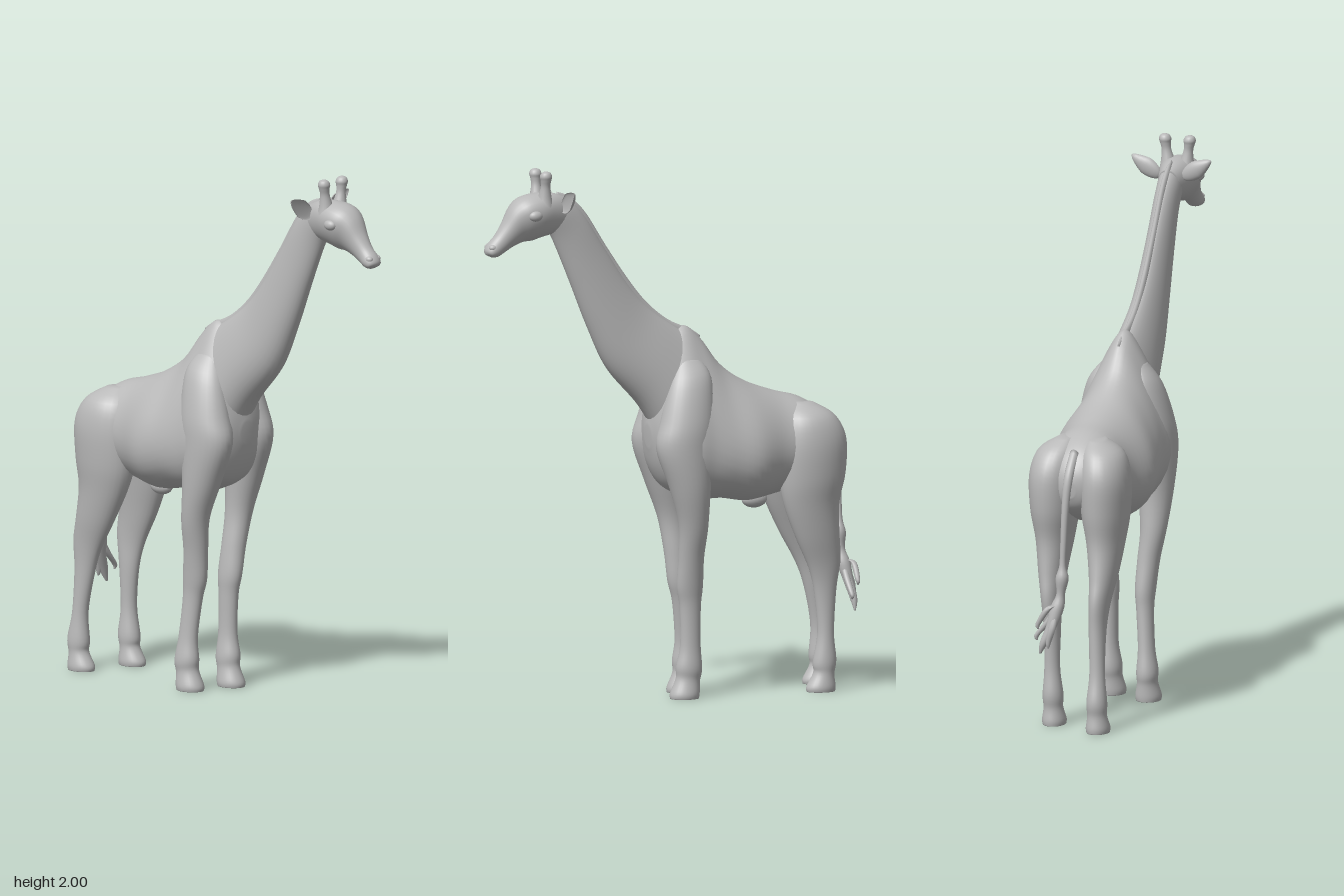
import * as THREE from 'three';

const coat = new THREE.MeshStandardMaterial({ color: 0xb9b9b9 });
coat.name = 'plain grey coat';

// Smooth interpolation between rows of numbers
const spline = (a, b, c, d, t) =>
  b + 0.5 * t * (c - a + t * (2 * a - 5 * b + 4 * c - d + t * (3 * (b - c) + d - a)));

// Skin over oval sections. Row: [x, zA, yA, zB, yB, halfWidth, taper]
// A and B are opposite points of the oval; taper narrows it towards A.
function loft(name, rows, sides = 28, steps = 5) {
  const pos = [], idx = [], rings = [];
  const last = rows.length - 1;
  for (let i = 0; i < last; i++) {
    for (let s = 0; s < steps + (i === last - 1 ? 1 : 0); s++) {
      const r = [rows[Math.max(i - 1, 0)], rows[i], rows[i + 1], rows[Math.min(i + 2, last)]];
      rings.push([0, 1, 2, 3, 4, 5, 6].map(k =>
        spline(r[0][k] || 0, r[1][k] || 0, r[2][k] || 0, r[3][k] || 0, s / steps)));
    }
  }
  for (const [x, zA, yA, zB, yB, w, t] of rings) {
    for (let j = 0; j < sides; j++) {
      const a = (j / sides) * Math.PI * 2, s = Math.sin(a);
      pos.push(x + w * Math.cos(a) * (1 - t * s),
        (yA + yB) / 2 + s * (yA - yB) / 2, (zA + zB) / 2 + s * (zA - zB) / 2);
    }
  }
  const n = rings.length;
  for (let i = 0; i < n - 1; i++) for (let j = 0; j < sides; j++) {
    const a = i * sides + j, b = i * sides + (j + 1) % sides;
    idx.push(a, b, a + sides, b, b + sides, a + sides);
  }
  // End caps
  for (const [i, flip] of [[0, false], [n - 1, true]]) {
    const [x, zA, yA, zB, yB] = rings[i], c = pos.length / 3;
    pos.push(x, (yA + yB) / 2, (zA + zB) / 2);
    for (let j = 0; j < sides; j++) {
      const a = i * sides + j, b = i * sides + (j + 1) % sides;
      if (flip) idx.push(c, a, b); else idx.push(c, b, a);
    }
  }
  // Turn the faces outwards
  const v = k => new THREE.Vector3().fromArray(pos, k * 3);
  let volume = 0;
  for (let k = 0; k < idx.length; k += 3) volume += v(idx[k]).dot(v(idx[k + 1]).cross(v(idx[k + 2])));
  if (volume < 0) idx.reverse();
  const g = new THREE.BufferGeometry();
  g.setAttribute('position', new THREE.Float32BufferAttribute(pos, 3));
  g.setIndex(idx);
  g.computeVertexNormals();
  const mesh = new THREE.Mesh(g, coat);
  mesh.name = name;
  return mesh;
}

function blob(name, x, y, z, rx, ry, rz) {
  const mesh = new THREE.Mesh(new THREE.SphereGeometry(1, 20, 14), coat);
  mesh.position.set(x, y, z);
  mesh.scale.set(rx, ry, rz);
  mesh.name = name;
  return mesh;
}

// Mirror a leg to the other side, stepping its foot outwards and back
const mirrorLeg = (rows, out, back) => rows.map(([x, zA, yA, zB, yB, w, t]) => {
  const k = Math.min(1, Math.max(0, (0.8 - (yA + yB) / 2) / 0.7));
  return [-x - out * k, zA - back * k, yA, zB - back * k, yB, w, t];
});

// Leaf-shaped ear, hollow at the front
function ear(side) {
  const g = new THREE.SphereGeometry(1, 20, 14);
  const p = g.attributes.position;
  for (let i = 0; i < p.count; i++) {
    const x = p.getX(i), z = p.getZ(i);
    const k = x > 0 ? 1 - 0.45 * x : 1;
    p.setXYZ(i, x * 0.068, p.getY(i) * 0.034 * k, (z > 0 ? -0.4 * z : z) * 0.02);
  }
  g.computeVertexNormals();
  const mesh = new THREE.Mesh(g, coat);
  mesh.position.set(side * 0.099, 1.888, 0.45);
  mesh.rotation.z = side > 0 ? 0.58 : Math.PI - 0.58;
  mesh.name = side > 0 ? 'leftEar' : 'rightEar';
  return mesh;
}

export function createModel() {
  const model = new THREE.Group();
  model.name = 'giraffe';

  // Trunk from chest to rump
  model.add(loft('body', [
    [0, 0.085, 1.02, 0.08, 0.94, 0.03, 0], [0, 0.07, 1.12, 0.06, 0.86, 0.1, 0.2],
    [0, 0.03, 1.3, 0.02, 0.79, 0.145, 0.45], [0, -0.05, 1.385, -0.05, 0.75, 0.162, 0.55],
    [0, -0.12, 1.345, -0.12, 0.735, 0.165, 0.5], [0, -0.2, 1.24, -0.2, 0.735, 0.18, 0.35],
    [0, -0.3, 1.17, -0.3, 0.72, 0.195, 0.2], [0, -0.42, 1.125, -0.4, 0.735, 0.165, 0.1],
    [0, -0.52, 1.098, -0.5, 0.76, 0.155, 0], [0, -0.6, 1.05, -0.59, 0.8, 0.12, 0],
    [0, -0.645, 0.99, -0.635, 0.84, 0.07, 0], [0, -0.66, 0.94, -0.655, 0.88, 0.02, 0],
  ], 40));
  model.add(blob('bellySheath', 0, 0.72, -0.35, 0.03, 0.032, 0.05));

  // Neck and the thin mane ridge along its back
  model.add(loft('neck', [
    [0, -0.12, 1.33, 0.05, 0.99, 0.1, 0.3], [0, -0.01, 1.395, 0.12, 1.1, 0.085, 0.25],
    [0, 0.085, 1.465, 0.245, 1.24, 0.068, 0.2], [0, 0.165, 1.555, 0.325, 1.4, 0.057, 0.15],
    [0, 0.255, 1.69, 0.395, 1.57, 0.048, 0.1], [0, 0.34, 1.82, 0.45, 1.7, 0.044, 0],
    [0, 0.41, 1.89, 0.485, 1.77, 0.045, 0], [0, 0.46, 1.9, 0.52, 1.79, 0.04, 0],
  ], 32));
  model.add(loft('mane', [
    [0, -0.13, 1.345, -0.11, 1.3, 0.006], [0, -0.09, 1.372, -0.06, 1.31, 0.012],
    [0, 0.0, 1.412, 0.02, 1.36, 0.013], [0, 0.085, 1.48, 0.12, 1.43, 0.013],
    [0, 0.16, 1.57, 0.2, 1.53, 0.013], [0, 0.25, 1.7, 0.29, 1.66, 0.013],
    [0, 0.335, 1.832, 0.37, 1.79, 0.013], [0, 0.4, 1.895, 0.42, 1.85, 0.012],
    [0, 0.45, 1.915, 0.45, 1.87, 0.006],
  ], 14));

  // Head with a slim muzzle
  model.add(loft('head', [
    [0, 0.4, 1.885, 0.45, 1.765, 0.042, 0], [0, 0.46, 1.91, 0.48, 1.757, 0.058, -0.1],
    [0, 0.53, 1.915, 0.52, 1.748, 0.073, -0.2], [0, 0.595, 1.903, 0.555, 1.738, 0.071, -0.25],
    [0, 0.637, 1.87, 0.59, 1.735, 0.055, -0.2], [0, 0.67, 1.81, 0.63, 1.72, 0.041, -0.1],
    [0, 0.7, 1.765, 0.665, 1.7, 0.034, 0], [0, 0.728, 1.735, 0.69, 1.687, 0.036, 0],
    [0, 0.74, 1.713, 0.71, 1.684, 0.03, 0], [0, 0.738, 1.698, 0.722, 1.688, 0.012, 0],
  ], 32));

  for (const s of [1, -1]) {
    const side = s > 0 ? 'left' : 'right';
    // Knobbed horns: height, radius, sideways position
    model.add(loft(side + 'Horn', [
      [1.86, 0.036, 0.034], [1.9, 0.026, 0.037], [1.94, 0.018, 0.043], [1.965, 0.02, 0.047],
      [1.98, 0.023, 0.048], [1.994, 0.017, 0.049], [2.0, 0.004, 0.049],
    ].map(([y, r, x]) => [s * x, 0.515 + r, y, 0.515 - r, y, r]), 18));
    model.add(ear(s));
    model.add(blob(side + 'Eye', s * 0.068, 1.838, 0.565, 0.019, 0.02, 0.027));
    model.add(blob(side + 'Nostril', s * 0.02, 1.722, 0.715, 0.014, 0.013, 0.018));
  }

  // Legs, each from shoulder or hip down to the hoof
  const front = [
    [0.06, -0.02, 1.27, -0.1, 1.27, 0.02], [0.085, 0.03, 1.18, -0.135, 1.2, 0.055],
    [0.102, 0.07, 1.05, -0.14, 1.05, 0.077], [0.11, 0.092, 0.945, -0.13, 0.93, 0.077],
    [0.115, 0.042, 0.8, -0.117, 0.78, 0.066], [0.105, 0.0, 0.66, -0.112, 0.64, 0.05],
    [0.08, -0.01, 0.53, -0.108, 0.53, 0.042], [0.062, -0.011, 0.42, -0.112, 0.42, 0.038],
    [0.057, -0.024, 0.34, -0.106, 0.34, 0.032], [0.055, -0.027, 0.2, -0.106, 0.2, 0.031],
    [0.052, -0.012, 0.12, -0.113, 0.11, 0.04], [0.05, -0.012, 0.075, -0.105, 0.065, 0.038],
    [0.05, 0.01, 0.02, -0.103, 0.02, 0.048], [0.05, 0.01, 0, -0.1, 0, 0.046],
  ];
  const hind = [
    [0.06, -0.48, 1.085, -0.56, 1.08, 0.03], [0.085, -0.43, 1.03, -0.63, 1.035, 0.078],
    [0.098, -0.41, 0.93, -0.672, 0.95, 0.092], [0.1, -0.412, 0.8, -0.67, 0.82, 0.086],
    [0.1, -0.43, 0.7, -0.645, 0.7, 0.068], [0.1, -0.475, 0.58, -0.648, 0.58, 0.05],
    [0.095, -0.53, 0.46, -0.655, 0.49, 0.036], [0.09, -0.555, 0.36, -0.64, 0.38, 0.031],
    [0.09, -0.567, 0.22, -0.63, 0.22, 0.029], [0.088, -0.55, 0.11, -0.64, 0.12, 0.038],
    [0.088, -0.552, 0.07, -0.632, 0.065, 0.036], [0.088, -0.525, 0.02, -0.637, 0.02, 0.044],
    [0.088, -0.525, 0, -0.635, 0, 0.042],
  ];
  model.add(loft('leftFrontLeg', front), loft('rightFrontLeg', mirrorLeg(front, 0.06, 0.058)));
  model.add(loft('leftHindLeg', hind), loft('rightHindLeg', mirrorLeg(hind, 0.022, 0.073)));

  // Tail with a knotted tuft
  model.add(loft('tail', [
    [0, -0.59, 1.0, -0.615, 1.055, 0.02], [0.004, -0.645, 0.95, -0.672, 0.97, 0.017],
    [0.01, -0.663, 0.85, -0.69, 0.86, 0.014], [0.015, -0.672, 0.72, -0.695, 0.72, 0.012],
    [0.018, -0.675, 0.63, -0.698, 0.63, 0.012], [0.02, -0.66, 0.58, -0.71, 0.58, 0.024],
    [0.025, -0.67, 0.52, -0.705, 0.52, 0.016], [0.036, -0.668, 0.47, -0.72, 0.47, 0.026],
    [0.052, -0.685, 0.41, -0.728, 0.4, 0.021], [0.08, -0.7, 0.345, -0.73, 0.335, 0.016],
    [0.095, -0.712, 0.295, -0.718, 0.295, 0.004],
  ], 18));
  [[0.115, 0.34, -0.695], [0.06, 0.32, -0.725], [0.1, 0.39, -0.725]].forEach(([x, y, z], i) =>
    model.add(loft('tuftStrand' + (i + 1), [
      [0.035, -0.68, 0.48, -0.705, 0.48, 0.01], [0.035 + (x - 0.035) * 0.4, z + 0.014, y + 0.08, z - 0.01, y + 0.08, 0.014],
      [x, z + 0.01, y + 0.02, z - 0.008, y + 0.02, 0.01], [x, z + 0.002, y, z - 0.002, y, 0.003],
    ], 10)));

  return model;
}
